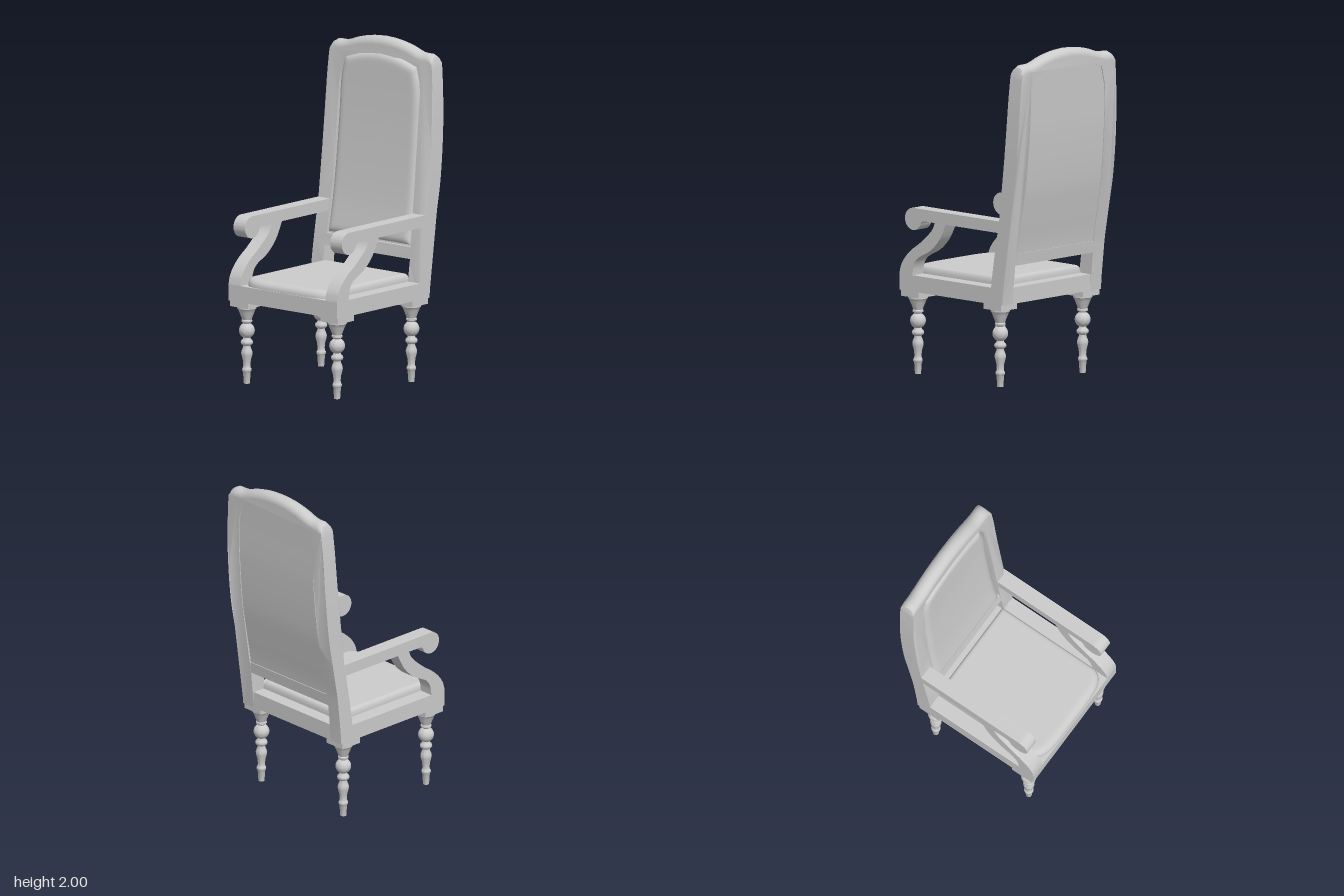
import * as THREE from 'three';
import { toCreasedNormals } from 'three/addons/utils/BufferGeometryUtils.js';

const material = new THREE.MeshStandardMaterial({ color: 0xcccccc });

// Smooth interpolation through [position, value] pairs
function through(points) {
  const slope = (i) => {
    const a = points[Math.max(i - 1, 0)], b = points[Math.min(i + 1, points.length - 1)];
    return (b[1] - a[1]) / (b[0] - a[0]);
  };
  return (p) => {
    let i = 0;
    while (i < points.length - 2 && p > points[i + 1][0]) i++;
    const [x0, y0] = points[i], [x1, y1] = points[i + 1], h = x1 - x0;
    const t = THREE.MathUtils.clamp((p - x0) / h, 0, 1), s = 1 - t;
    return y0 * (1 + 2 * t) * s * s + y1 * (3 - 2 * t) * t * t + h * t * s * (slope(i) * s - slope(i + 1) * t);
  };
}

// Move every vertex by a rule, then smooth all but the sharp edges
function reshape(geometry, rule, crease = 0.6) {
  const p = geometry.attributes.position, v = new THREE.Vector3();
  for (let i = 0; i < p.count; i++) {
    rule(v.fromBufferAttribute(p, i));
    p.setXYZ(i, v.x, v.y, v.z);
  }
  return toCreasedNormals(geometry, crease);
}

// Curves of the back: depth by height, outline and upholstery opening
const backFront = through([[0.5, -0.25], [0.6, -0.255], [0.8, -0.285], [1, -0.32], [1.2, -0.345], [1.5, -0.372], [1.8, -0.388], [2, -0.395]]);
const backRear = through([[0.5, -0.345], [0.625, -0.355], [0.835, -0.38], [1, -0.41], [1.2, -0.445], [1.5, -0.472], [1.76, -0.482], [2, -0.49]]);
const outerSide = through([[0.5, 0.42], [1, 0.42], [1.4, 0.419], [1.7, 0.41], [1.9, 0.395]]);
const crest = through([[0, 2], [0.1, 1.993], [0.2, 1.972], [0.29, 1.943], [0.36, 1.94]]);
const innerSide = through([[0.8, 0.327], [1.5, 0.317], [1.74, 0.31], [1.86, 0.28]]);
const innerTop = through([[0, 1.915], [0.1, 1.907], [0.2, 1.885], [0.28, 1.86]]);

const steps = (a, b, n, f) => Array.from({ length: n + 1 }, (_, i) => f(a + (b - a) * i / n));
const mirrored = (half) => [...half, ...half.slice().reverse().filter((p) => p.x > 1e-6).map((p) => new THREE.Vector2(-p.x, p.y))];
const P = (x, y) => new THREE.Vector2(x, y);

function backFrame() {
  const outline = mirrored([
    P(0.33, 0.73),
    ...steps(0.73, 0.5, 5, (y) => P(0.33, y)).slice(1),
    ...steps(0.5, 1.9, 30, (y) => P(outerSide(y), y)),
    P(0.385, 1.926),
    ...steps(0.36, 0, 18, (x) => P(x, crest(x))),
  ]);
  const opening = mirrored([
    ...steps(0.8, 1.86, 24, (y) => P(innerSide(y), y)),
    ...steps(0.28, 0, 12, (x) => P(x, innerTop(x))).slice(1),
  ]);
  const shape = new THREE.Shape(outline);
  shape.holes.push(new THREE.Path(opening));
  const geometry = new THREE.ExtrudeGeometry(shape, { depth: 1, steps: 12, bevelEnabled: false });
  return reshape(geometry, (v) => {
    const c = -Math.cos(Math.PI * v.z), y = v.y;
    v.z = THREE.MathUtils.lerp(backRear(y), backFront(y), (c + 1) / 2);
    // Round over the crest only
    if (Math.abs(v.x) > 0.3 || y > 1.925) {
      v.y -= 0.045 * THREE.MathUtils.smoothstep(y, 1.87, 1.94) * (1 - Math.sqrt(Math.max(0, 1 - c * c)));
    }
  });
}

// Quarter-round rise from an edge, d being the distance from it
const rounded = (d, r) => Math.sqrt(Math.max(0, 1 - (1 - Math.min(d / r, 1)) ** 2));
const ease = (t) => Math.sin(t * Math.PI / 2);

// Upholstery that follows the bend and arch of the back opening
function backPad(inset, rearZ, frontZ) {
  return reshape(new THREE.BoxGeometry(2, 2, 1, 28, 36, 1), (v) => {
    const u = ease(v.x), t = (ease(v.y) + 1) / 2, bottom = 0.8 + inset;
    const height = innerTop(Math.abs(u) * 0.28) - inset - bottom;
    const y = bottom + t * height, side = innerSide(y) - inset;
    const d = Math.min((1 - Math.abs(u)) * side, t * height, (1 - t) * height);
    v.set(u * side, y, v.z > 0 ? frontZ(y, d) : rearZ(y));
  }, 0.9);
}

// Seat cushion with rounded front corners and a soft top edge
function seatCushion() {
  return reshape(new THREE.BoxGeometry(2, 1, 2, 32, 1, 32), (v) => {
    const u = ease(v.x), t = (ease(v.z) + 1) / 2;
    const front = 0.36 + 0.125 * Math.cbrt(Math.max(0, 1 - Math.abs(u) ** 5)), rear = -0.265;
    const z = rear + t * (front - rear);
    const rise = Math.min(rounded((1 - Math.abs(u)) * 0.33, 0.02), rounded(front - z, 0.045), rounded(z - rear, 0.015));
    v.set(u * 0.33, v.y > 0 ? 0.605 + 0.04 * rise : 0.575, z);
  }, 0.9);
}

// Side profile (z, y) given the thickness of an arm
function sideways(shape) {
  const geometry = new THREE.ExtrudeGeometry(shape, { depth: 0.09, bevelEnabled: false, curveSegments: 20 });
  geometry.rotateY(-Math.PI / 2).translate(0.045, 0, 0);
  return toCreasedNormals(geometry, 0.6);
}

function armRest() {
  const s = new THREE.Shape();
  s.moveTo(-0.345, 0.93);
  s.lineTo(0.285, 0.93);
  s.quadraticCurveTo(0.31, 0.93, 0.319, 0.91);
  s.absarc(0.38, 0.934, 0.066, 3.52, Math.PI * 2.5, false);
  s.lineTo(-0.345, 1);
  return sideways(s);
}

function armSupport() {
  const s = new THREE.Shape();
  s.moveTo(0.49, 0.59);
  s.lineTo(0.488, 0.615);
  s.splineThru([P(0.475, 0.655), P(0.44, 0.705), P(0.385, 0.755), P(0.32, 0.8), P(0.23, 0.88), P(0.2, 0.94)]);
  s.lineTo(0.108, 0.94);
  s.splineThru([P(0.165, 0.835), P(0.24, 0.76), P(0.34, 0.705), P(0.375, 0.655), P(0.385, 0.59)]);
  return sideways(s);
}

function turnedLeg() {
  const ball = steps(-1.1, 1.1, 12, (a) => P(0.047 * Math.cos(a), 0.318 + 0.047 * Math.sin(a)));
  const profile = [
    P(0, 0), P(0.018, 0), P(0.023, 0.07), P(0.028, 0.076), P(0.028, 0.088), P(0.023, 0.094),
    P(0.021, 0.11), P(0.024, 0.14), P(0.032, 0.17), P(0.034, 0.185), P(0.03, 0.2), P(0.022, 0.22),
    P(0.022, 0.228), P(0.034, 0.237), P(0.037, 0.247), P(0.034, 0.257), P(0.024, 0.266),
    ...ball, P(0.024, 0.366), P(0.032, 0.37), P(0.032, 0.38), P(0.028, 0.384),
    P(0.034, 0.4), P(0.046, 0.43), P(0.053, 0.447), P(0.058, 0.452), P(0.058, 0.466), P(0, 0.466),
  ];
  return toCreasedNormals(new THREE.LatheGeometry(profile, 28), 0.7);
}

// Rectangular rail frame, open in the middle
function seatRails() {
  const s = new THREE.Shape([P(-0.42, -0.49), P(0.42, -0.49), P(0.42, 0.345), P(-0.42, 0.345)]);
  s.holes.push(new THREE.Path([P(-0.33, -0.4), P(-0.33, 0.255), P(0.33, 0.255), P(0.33, -0.4)]));
  return new THREE.ExtrudeGeometry(s, { depth: 0.098, bevelEnabled: false }).rotateX(-Math.PI / 2).translate(0, 0.5, 0);
}

export function createModel() {
  const chair = new THREE.Group();
  chair.name = 'armchair';
  const add = (name, geometry, x = 0, y = 0, z = 0) => {
    const mesh = new THREE.Mesh(geometry, material);
    mesh.name = name;
    mesh.position.set(x, y, z);
    chair.add(mesh);
  };

  // Back
  const middle = (y) => (backFront(y) + backRear(y)) / 2;
  add('backFrame', backFrame());
  add('backCushion', backPad(0.011, middle, (y, d) => backFront(y) - 0.012 + 0.027 * rounded(d, 0.04)));
  add('backPanel', backPad(-0.001, (y) => backRear(y) + 0.005, (y) => backFront(y) - 0.02));

  // Seat
  add('seatRails', seatRails());
  add('seatBase', new THREE.BoxGeometry(0.68, 0.03, 0.68), 0, 0.57, 0.07);
  add('seatCushion', seatCushion());

  // Arms and legs
  const rest = armRest(), support = armSupport(), leg = turnedLeg();
  const plate = new THREE.BoxGeometry(0.138, 0.04, 0.142);
  for (const [side, sx] of [['left', 1], ['right', -1]]) {
    add(side + 'ArmRest', rest, sx * 0.375);
    add(side + 'ArmSupport', support, sx * 0.375);
    for (const [end, z] of [['Front', 0.407], ['Back', -0.263]]) {
      add(side + end + 'Leg', leg, sx * 0.35, 0, z);
      add(side + end + 'LegPlate', plate, sx * 0.35, 0.485, z);
    }
  }
  return chair;
}
